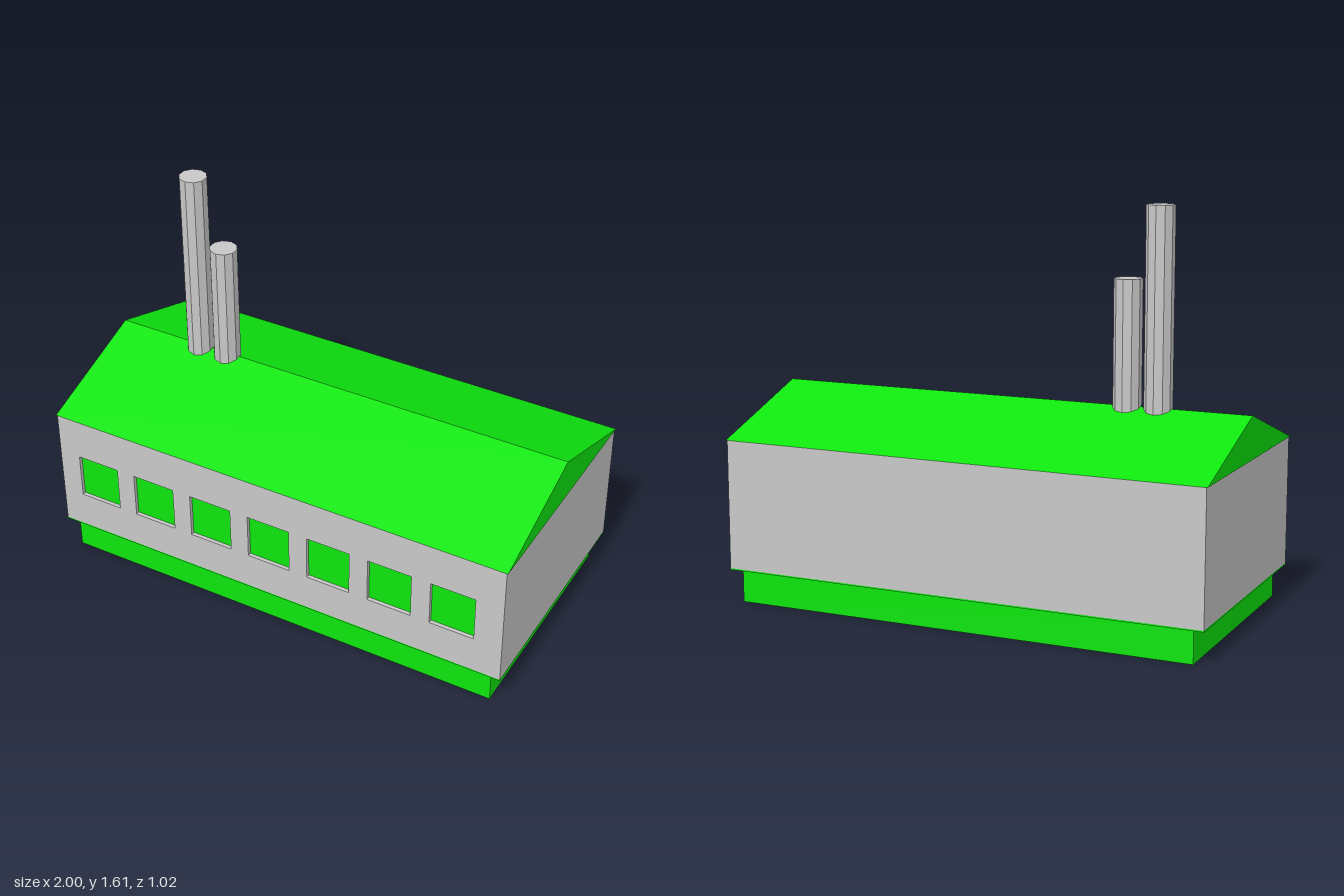
import * as THREE from 'three';

export function createModel() {
  const model = new THREE.Group();
  const green = new THREE.MeshStandardMaterial({ color: 0x0ee60e });
  green.name = 'bright green';
  const grey = new THREE.MeshStandardMaterial({ color: 0xc8c8c8 });
  grey.name = 'light grey';

  const add = (name, geometry, material, x = 0, y = 0, z = 0) => {
    const mesh = new THREE.Mesh(geometry, material);
    mesh.name = name;
    mesh.position.set(x, y, z);
    model.add(mesh);
    return mesh;
  };
  const box = (name, w, h, d, material, x, y, z) =>
    add(name, new THREE.BoxGeometry(w, h, d), material, x, y, z);

  const bottom = 0.138, top = 0.66, height = top - bottom, middle = (top + bottom) / 2;
  const halfX = 0.995, halfZ = 0.506, thickness = 0.016;

  // Plinth and the floor that overhangs it
  box('plinth', 1.9, 0.134, 0.97, green, 0, 0.067, 0);
  box('floor', 2 * halfX, 0.006, 2 * halfZ, green, 0, 0.135, 0);

  // Front wall with a row of seven window openings
  const wall = new THREE.Shape();
  wall.moveTo(-halfX, bottom);
  wall.lineTo(halfX, bottom);
  wall.lineTo(halfX, top);
  wall.lineTo(-halfX, top);
  wall.closePath();
  const windowW = 0.186, sill = 0.292, lintel = 0.484;
  for (let i = 0; i < 7; i++) {
    const x = -0.81 + i * 0.266;
    const hole = new THREE.Path();
    hole.moveTo(x - windowW / 2, sill);
    hole.lineTo(x - windowW / 2, lintel);
    hole.lineTo(x + windowW / 2, lintel);
    hole.lineTo(x + windowW / 2, sill);
    hole.closePath();
    wall.holes.push(hole);
    // Recessed pane behind the opening
    box('windowPane', windowW + 0.02, lintel - sill + 0.02, 0.006, green,
      x, (sill + lintel) / 2, halfZ - thickness - 0.003);
  }
  add('frontWall', new THREE.ExtrudeGeometry(wall, { depth: thickness, bevelEnabled: false }),
    grey, 0, 0, halfZ - thickness);

  // Plain back and end walls
  box('backWall', 2 * halfX, height, thickness, grey, 0, middle, -halfZ + thickness / 2);
  for (const side of [-1, 1]) {
    box('endWall', thickness, height, 2 * (halfZ - thickness), grey,
      side * (halfX - thickness / 2), middle, 0);
  }

  // Gabled roof, extruded along the ridge
  const gable = new THREE.Shape();
  gable.moveTo(-0.508, top);
  gable.lineTo(0.508, top);
  gable.lineTo(0, 0.83);
  gable.closePath();
  const roof = new THREE.ExtrudeGeometry(gable, { depth: 2, bevelEnabled: false });
  roof.translate(0, 0, -1).rotateY(Math.PI / 2);
  add('roof', roof, green);

  // Two ten-sided chimneys rising through the ridge
  for (const [x, chimneyTop] of [[-0.625, 1.605], [-0.498, 1.322]]) {
    const chimney = new THREE.CylinderGeometry(0.056, 0.056, chimneyTop - top, 10).toNonIndexed();
    chimney.computeVertexNormals();
    add('chimney', chimney, grey, x, (chimneyTop + top) / 2, 0);
  }

  return model;
}
